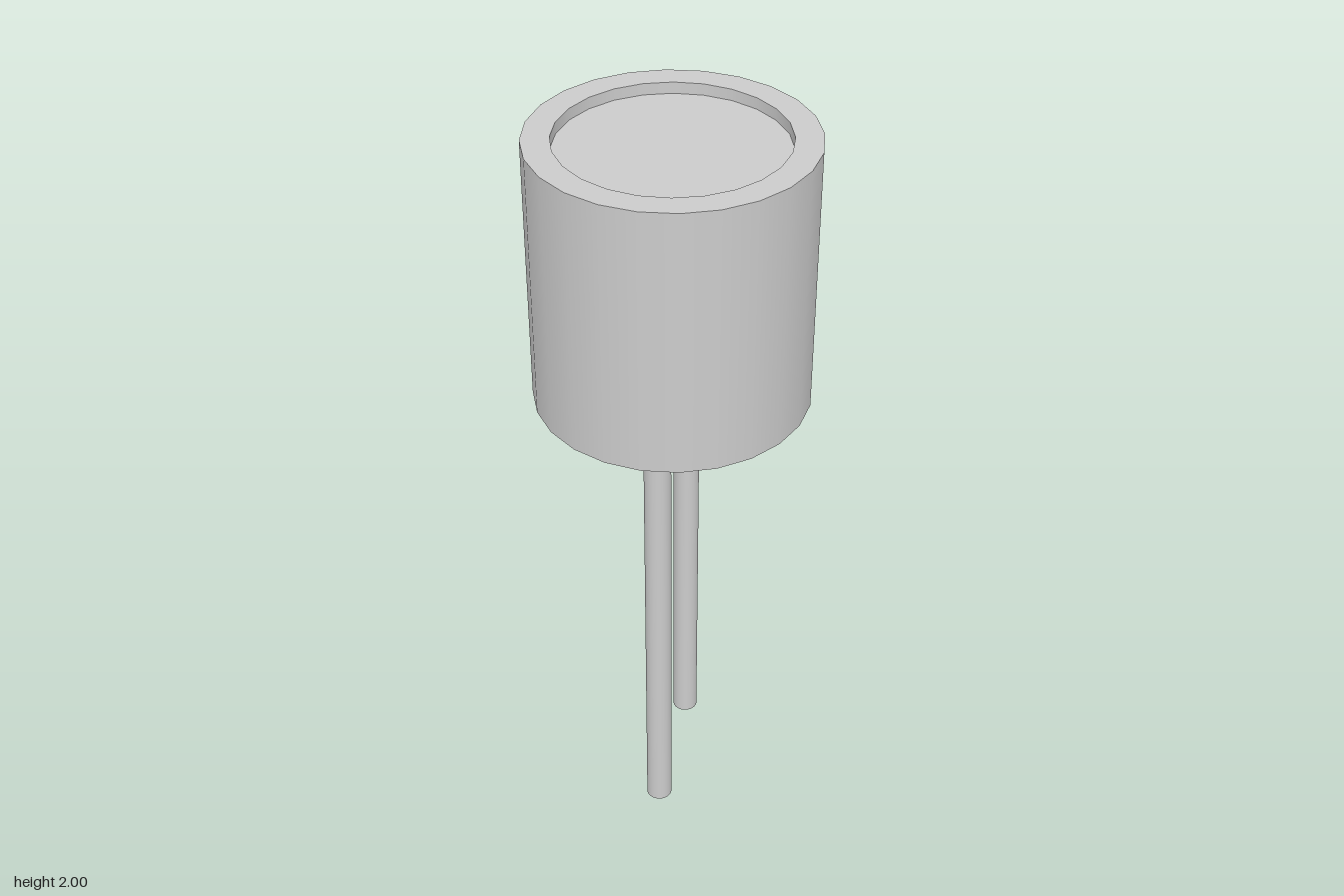
import * as THREE from 'three';

const SIDES = 24;
const BODY_R = 0.356, RECESS_R = 0.286;
const BODY_Y = 1.29, FLOOR_Y = 1.97, TOP_Y = 2;
const BODY_TURN = THREE.MathUtils.degToRad(9);
const RECESS_TURN = THREE.MathUtils.degToRad(6);

const grey = new THREE.MeshStandardMaterial({ color: 0xcccccc });
const greyInside = new THREE.MeshStandardMaterial({ color: 0xcccccc, side: THREE.BackSide });

function add(parent, name, geometry, material = grey) {
  const mesh = new THREE.Mesh(geometry, material);
  mesh.name = name;
  parent.add(mesh);
  return mesh;
}

// Open tube standing between two heights
function wall(radius, y0, y1, turn) {
  return new THREE.CylinderGeometry(radius, radius, y1 - y0, SIDES, 1, true, turn)
    .translate(0, (y0 + y1) / 2, 0);
}

function ringPoints(radius, turn) {
  return Array.from({ length: SIDES }, (_, i) => {
    const a = turn + (i / SIDES) * Math.PI * 2;
    return new THREE.Vector2(radius * Math.cos(a), radius * Math.sin(a));
  });
}

export function createModel() {
  const model = new THREE.Group();
  model.name = 'twoLeadComponent';

  // Cylindrical can with a shallow round recess in its top
  const can = new THREE.Group();
  can.name = 'can';
  model.add(can);
  add(can, 'canWall', wall(BODY_R, BODY_Y, TOP_Y, BODY_TURN));
  add(can, 'recessWall', wall(RECESS_R, FLOOR_Y, TOP_Y, RECESS_TURN), greyInside);

  const rim = new THREE.Shape(ringPoints(BODY_R, BODY_TURN));
  rim.holes.push(new THREE.Path(ringPoints(RECESS_R, RECESS_TURN)));
  add(can, 'rim', new THREE.ShapeGeometry(rim).rotateX(-Math.PI / 2).translate(0, TOP_Y, 0));

  add(can, 'recessFloor', new THREE.CircleGeometry(RECESS_R, SIDES, RECESS_TURN)
    .rotateX(-Math.PI / 2).translate(0, FLOOR_Y, 0));
  add(can, 'canBase', new THREE.CircleGeometry(BODY_R, SIDES, -BODY_TURN)
    .rotateX(Math.PI / 2).translate(0, BODY_Y, 0));

  // Two straight leads, set diagonally under the can
  const leads = [['rightLead', -0.172, 0.08], ['leftLead', 0.163, -0.073]];
  for (const [name, x, z] of leads) {
    add(model, name, new THREE.CylinderGeometry(0.035, 0.035, BODY_Y, SIDES))
      .position.set(x, BODY_Y / 2, z);
  }
  return model;
}
